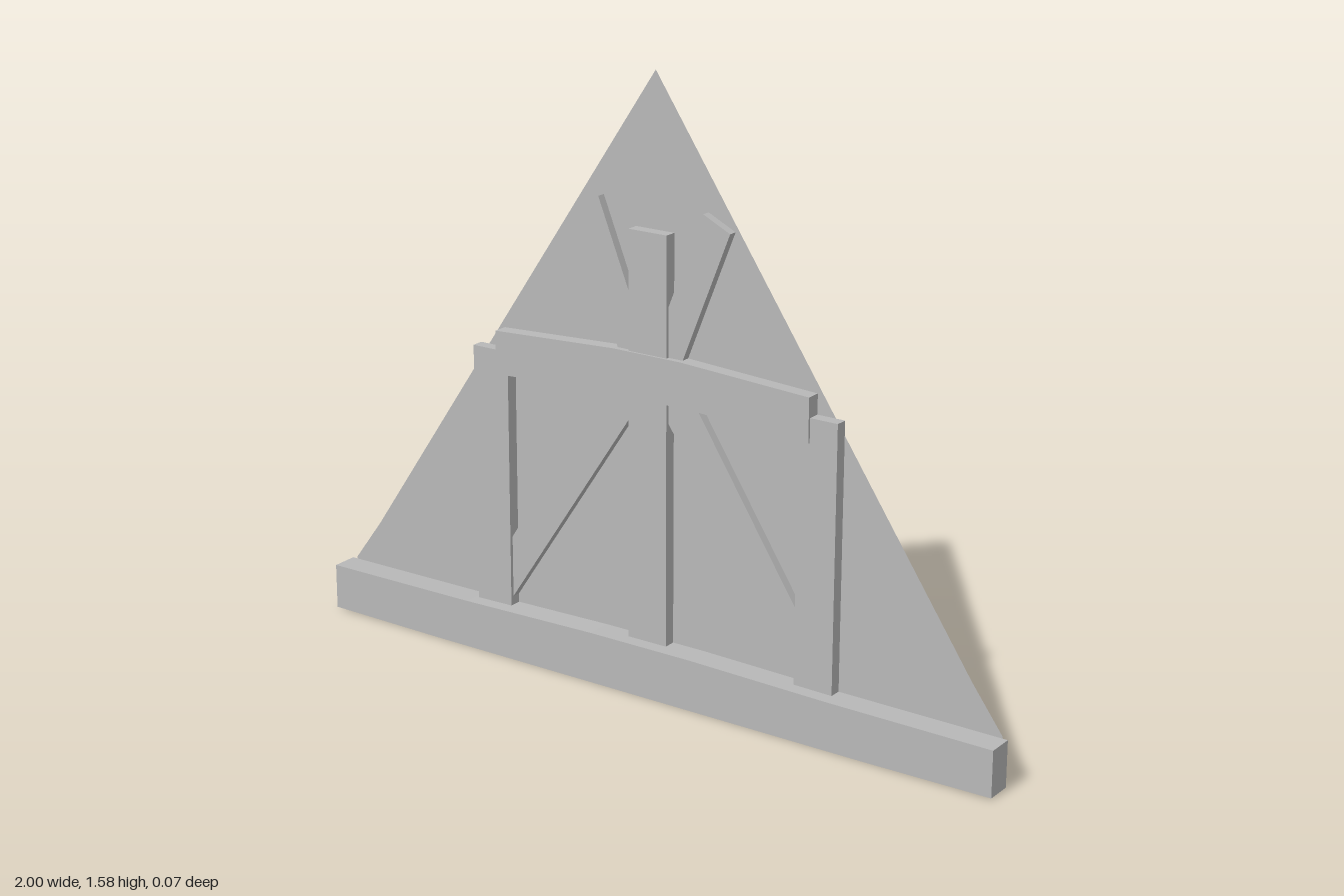
import * as THREE from 'three';

const BACK = -0.035;

export function createModel() {
  const group = new THREE.Group();
  const timber = new THREE.MeshStandardMaterial({ color: 0xb8b8b8 });
  const panelMat = timber.clone();
  panelMat.side = THREE.DoubleSide;

  const outline = (pts) => new THREE.Shape(pts.map(([x, y]) => new THREE.Vector2(x, y)));

  // Timber cut to an outline, standing forward from the panel
  const addTimber = (name, pts, front) => {
    const geo = new THREE.ExtrudeGeometry(outline(pts), { depth: front - BACK, bevelEnabled: false });
    geo.translate(0, 0, BACK);
    const mesh = new THREE.Mesh(geo, timber);
    mesh.name = name;
    group.add(mesh);
  };

  // Thin triangular gable panel
  const panel = new THREE.Mesh(new THREE.ShapeGeometry(outline([
    [-0.985, 0.02], [0.985, 0.02], [0.985, 0.13], [0.9, 0.245],
    [0, 1.58], [-0.9, 0.245], [-0.985, 0.13],
  ])), panelMat);
  panel.name = 'gablePanel';
  panel.position.z = BACK - 0.0005;
  group.add(panel);

  // Slightly bowed tie beam along the bottom
  addTimber('tieBeam', [
    [-1, 0.003], [-0.65, 0], [0.65, 0], [1, 0.003],
    [1, 0.124], [0.55, 0.127], [0.15, 0.135], [-0.15, 0.135], [-0.55, 0.127], [-1, 0.124],
  ], 0.035);

  // Cambered collar beam
  addTimber('collarBeam', [
    [-0.465, 0.753], [-0.14, 0.77], [0.14, 0.77], [0.465, 0.753],
    [0.465, 0.867], [0.1, 0.886], [-0.1, 0.886], [-0.465, 0.867],
  ], 0.003);

  // Central king post
  addTimber('kingPost', [[-0.06, 0.12], [0.055, 0.12], [0.055, 1.192], [-0.057, 1.192]], -0.003);

  // Side posts and diagonal braces, mirrored
  for (const [side, s] of [['right', -1], ['left', 1]]) {
    const mirror = (pts) => pts.map(([x, y]) => [s * x, y]);
    addTimber(side + 'Post', mirror([[0.432, 0.12], [0.54, 0.12], [0.541, 0.815], [0.432, 0.815]]), -0.003);
    addTimber(side + 'LowerBrace', mirror([
      [0.45, 0.126], [0.5, 0.126], [0.5, 0.212], [0.11, 0.816], [0.03, 0.756],
    ]), -0.012);
    addTimber(side + 'UpperBrace', mirror([
      [0.05, 0.77], [0.23, 1.22], [0.153, 1.257], [0.005, 0.89],
    ]), -0.012);
  }
  return group;
}
